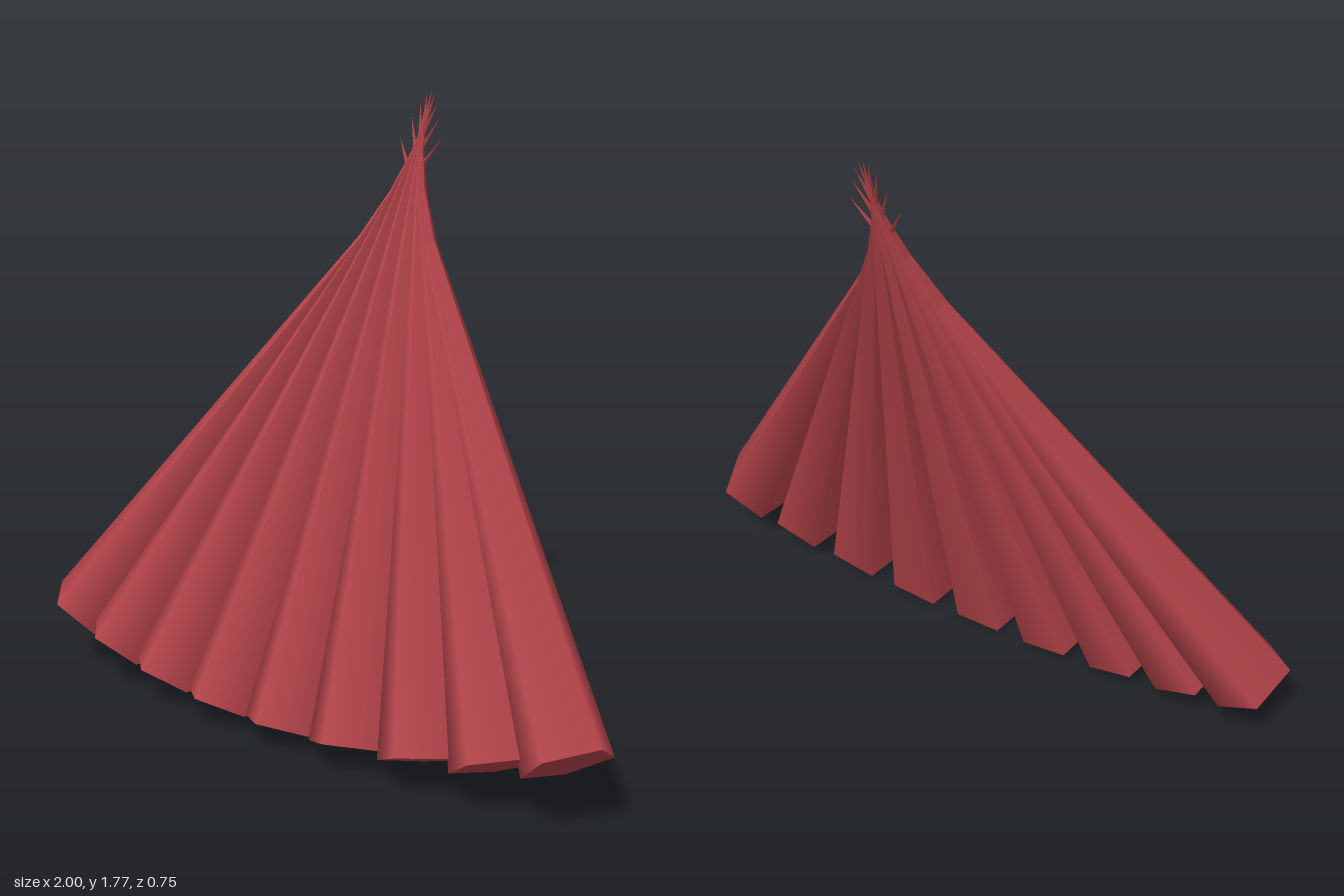
import * as THREE from 'three';

const rad = THREE.MathUtils.degToRad;

export function createModel() {
  const model = new THREE.Group();
  model.name = 'fan';

  const red = new THREE.MeshStandardMaterial({ color: 0xb5444a });
  red.name = 'red';

  // The whole fan leans back
  const blades = new THREE.Group();
  blades.name = 'blades';
  blades.position.set(0, 0.901, -0.059);
  blades.rotation.x = rad(-20);
  model.add(blades);

  // Nine smooth five-sided spikes, spread sideways and crossing near the tips
  const spike = new THREE.ConeGeometry(0.125, 1.844, 5);
  for (let i = -4; i <= 4; i++) {
    const blade = new THREE.Mesh(spike, red);
    blade.name = `blade${i + 5}`;
    blade.position.x = 0.58 * Math.sin(rad(11.25 * i));
    blade.rotation.z = rad(8 * i);
    blades.add(blade);
  }
  return model;
}
